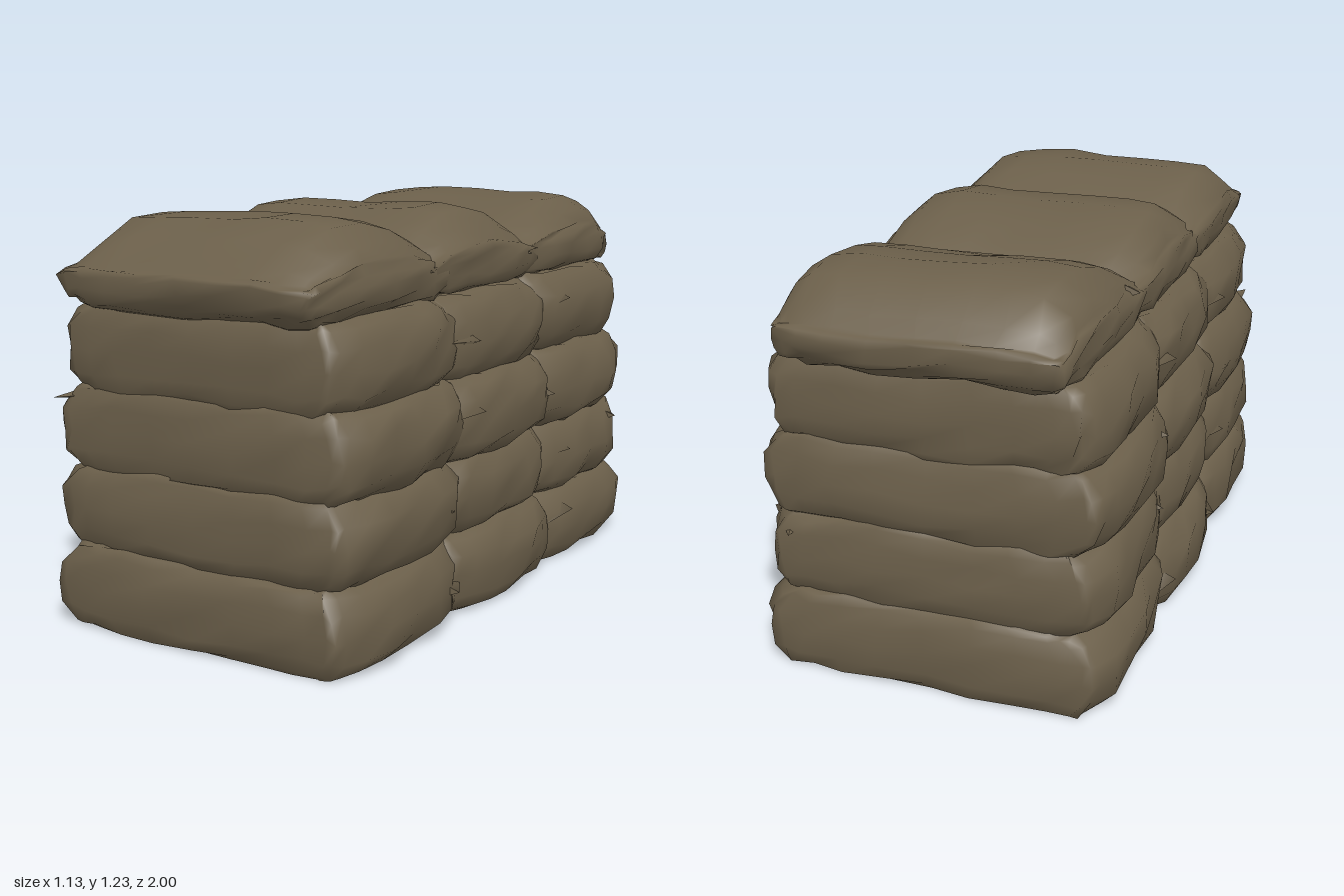
import * as THREE from 'three';
import { mergeVertices } from 'three/addons/utils/BufferGeometryUtils.js';

const burlap = new THREE.MeshStandardMaterial({ color: 0x6b5f4a });
burlap.name = 'burlap';

// Repeatable noise in -1..1 from a point and a seed
function noise(u, v, w, seed) {
  const s = Math.sin(u * 12.99 + v * 78.23 + w * 37.72 + seed * 19.19) * 43758.5453;
  return 2 * (s - Math.floor(s)) - 1;
}

// Smooth shading after welding the box sides together
function smooth(geometry) {
  geometry.deleteAttribute('normal');
  geometry.deleteAttribute('uv');
  const welded = mergeVertices(geometry, 1e-5);
  welded.computeVertexNormals();
  return welded;
}

// A filled sack: a box bulged into a pillow with slack, wrinkled cloth
function bagGeometry(b) {
  const geo = new THREE.BoxGeometry(2, 2, 2, 10, 6, 8);
  const p = geo.attributes.position;
  const ease = (t) => Math.round(Math.sin(t * Math.PI / 2) * 1000) / 1000;
  for (let i = 0; i < p.count; i++) {
    const u = ease(p.getX(i)), v = ease(p.getY(i)), w = ease(p.getZ(i));
    const upper = v > 0;
    // Height falls away towards the ends of the bag
    let fall;
    if (b.crown && upper) {
      const t = (w - b.crest) / (w > b.crest ? 1 - b.crest : 1 + b.crest);
      fall = (1 - 0.6 * u ** 10) * (1 - 0.85 * t * t);
    } else {
      fall = 1 - (b.crown ? 0.4 : 0.15) * Math.max(u ** 6, w ** 6);
    }
    const sag = 0.008 * Math.sin(u * 4 + b.seed * 1.7) * (1 - 0.5 * v * v);
    const j = 0.012;
    // The long sides are pinched in where bags meet
    const x = b.half[0] * u * (1 - b.insetX * v ** 4) * (1 - b.pinch * w ** 4)
      + j * noise(u, v, w, b.seed);
    const y = b.at[0] + (upper ? b.up : b.down) * v * fall + sag
      + j * 0.8 * noise(w, u, v, b.seed + 3) * (b.crown && upper ? 0.5 : 1);
    const z = b.at[1] + b.half[1] * w * (1 - b.insetZ * v ** 4) * (1 - 0.05 * u ** 6)
      + 0.009 * noise(v, w, u, b.seed + 7) + 0.008 * Math.sin(u * 3 + b.seed) * w * (1 - w * w);
    // The lowest bags rest flat on the ground
    p.setXYZ(i, x, Math.max(y, 0.008), z);
  }
  return smooth(geo);
}

// A pinched fold of cloth: a flattened four-sided spike
function foldGeometry(radius, length, thick) {
  const geo = new THREE.ConeGeometry(radius, length, 4, 1);
  geo.scale(1, 1, thick);
  geo.computeVertexNormals();
  return geo;
}

export function createModel() {
  const group = new THREE.Group();
  group.name = 'sandbagStack';

  // Rows from the ground up: centre height, half width, outer reach in z
  const rows = [
    { y: 0.125, x: 0.552, reach: 0.965 },
    { y: 0.37, x: 0.535, reach: 0.95 },
    { y: 0.61, x: 0.545, reach: 0.942 },
    { y: 0.85, x: 0.522, reach: 0.938 },
    { y: 1.065, x: 0.45, reach: 0.99, crown: true },
  ];
  // Where each top bag is highest, along its depth
  const crests = [-0.5, 0.1, 0.15];

  rows.forEach((row, r) => {
    for (let c = -1; c <= 1; c++) {
      const halfZ = (row.crown ? 0.39 : 0.355) + (c === 0 ? -0.005 : 0);
      const bag = new THREE.Mesh(bagGeometry({
        seed: r * 3 + c + 2,
        crown: row.crown,
        crest: crests[c + 1],
        at: [row.y, c * (row.reach - halfZ)],
        half: [row.x + 0.008 * noise(r, c, 1, 5), halfZ],
        up: row.crown ? 0.17 : 0.152,
        down: row.crown ? 0.125 : 0.15,
        insetX: row.crown ? 0.05 : 0.13,
        insetZ: row.crown ? 0.06 : 0.08,
        pinch: row.crown ? 0.06 : 0.11,
      }), burlap);
      bag.name = `bagRow${r + 1}Column${c + 2}`;
      group.add(bag);
    }
  });

  // Tucked folds where neighbouring bags meet on both long sides
  for (const side of [-1, 1]) {
    for (const joint of [-0.33, 0.31]) {
      rows.forEach((row, r) => {
        const n = noise(side, joint, r, 11);
        const fold = new THREE.Mesh(foldGeometry(0.07, 0.2 + 0.03 * n, 0.4), burlap);
        fold.name = 'cornerFold';
        fold.position.set(side * (row.x - 0.075), row.y + 0.03 * n, joint + 0.02 * n);
        fold.rotation.set(Math.PI / 2 * Math.sign(n) + 0.4 * n, 0, side * 0.15);
        group.add(fold);
      });
    }
  }

  // Loose sack corners sticking out at the ends of the stack
  const corners = [[-0.45, 0.70, 1], [0.44, 0.44, -1]];
  for (const [x, y, dir] of corners) {
    const ear = new THREE.Mesh(foldGeometry(0.08, 0.2, 0.4), burlap);
    ear.name = 'sackEar';
    ear.position.set(x, y, dir * 0.87);
    ear.rotation.set(dir * Math.PI / 2, 0, -Math.sign(x) * dir * 0.3);
    group.add(ear);
  }

  return group;
}
